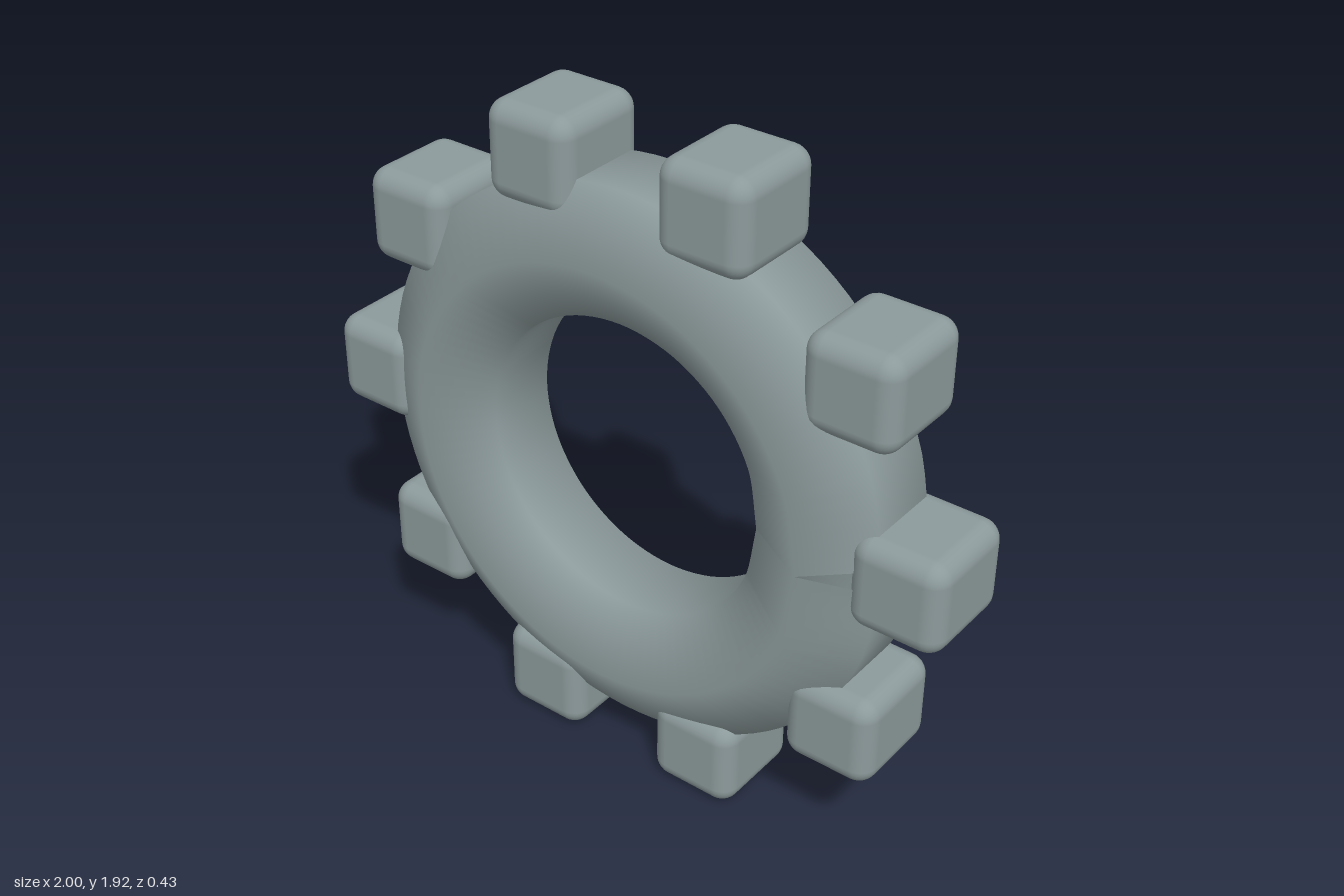
import * as THREE from 'three';
import { RoundedBoxGeometry } from 'three/addons/geometries/RoundedBoxGeometry.js';

const CENTRE_Y = 0.958;
const RING_RADIUS = 0.625;
const TUBE_RADIUS = 0.215;
const TEETH = 10;
const TOOTH_RADIUS = 0.865;

export function createModel() {
  const steel = new THREE.MeshStandardMaterial({ color: 0x8c9a9b, side: THREE.DoubleSide });
  steel.name = 'grey steel';

  const gear = new THREE.Group();
  gear.name = 'gear';
  gear.position.y = CENTRE_Y;

  // Six-sided ring swept along an open loop, which leaves a small split at the seam
  const points = [];
  const steps = 16;
  for (let i = 0; i <= steps; i++) {
    const a = (i / steps) * Math.PI * 2;
    points.push(new THREE.Vector3(Math.cos(a) * RING_RADIUS, Math.sin(a) * RING_RADIUS, 0));
  }
  const path = new THREE.CatmullRomCurve3(points);
  const ring = new THREE.Mesh(new THREE.TubeGeometry(path, 96, TUBE_RADIUS, 6, false), steel);
  ring.name = 'ring';
  gear.add(ring);

  // Upright rounded blocks spaced evenly around the rim
  const toothGeometry = new RoundedBoxGeometry(0.27, 0.27, 0.31, 4, 0.055);
  for (let i = 0; i < TEETH; i++) {
    const a = (i / TEETH) * Math.PI * 2;
    const tooth = new THREE.Mesh(toothGeometry, steel);
    tooth.name = `tooth${i + 1}`;
    tooth.position.set(Math.cos(a) * TOOTH_RADIUS, Math.sin(a) * TOOTH_RADIUS, 0);
    gear.add(tooth);
  }

  const model = new THREE.Group();
  model.name = 'gearModel';
  model.add(gear);
  return model;
}
